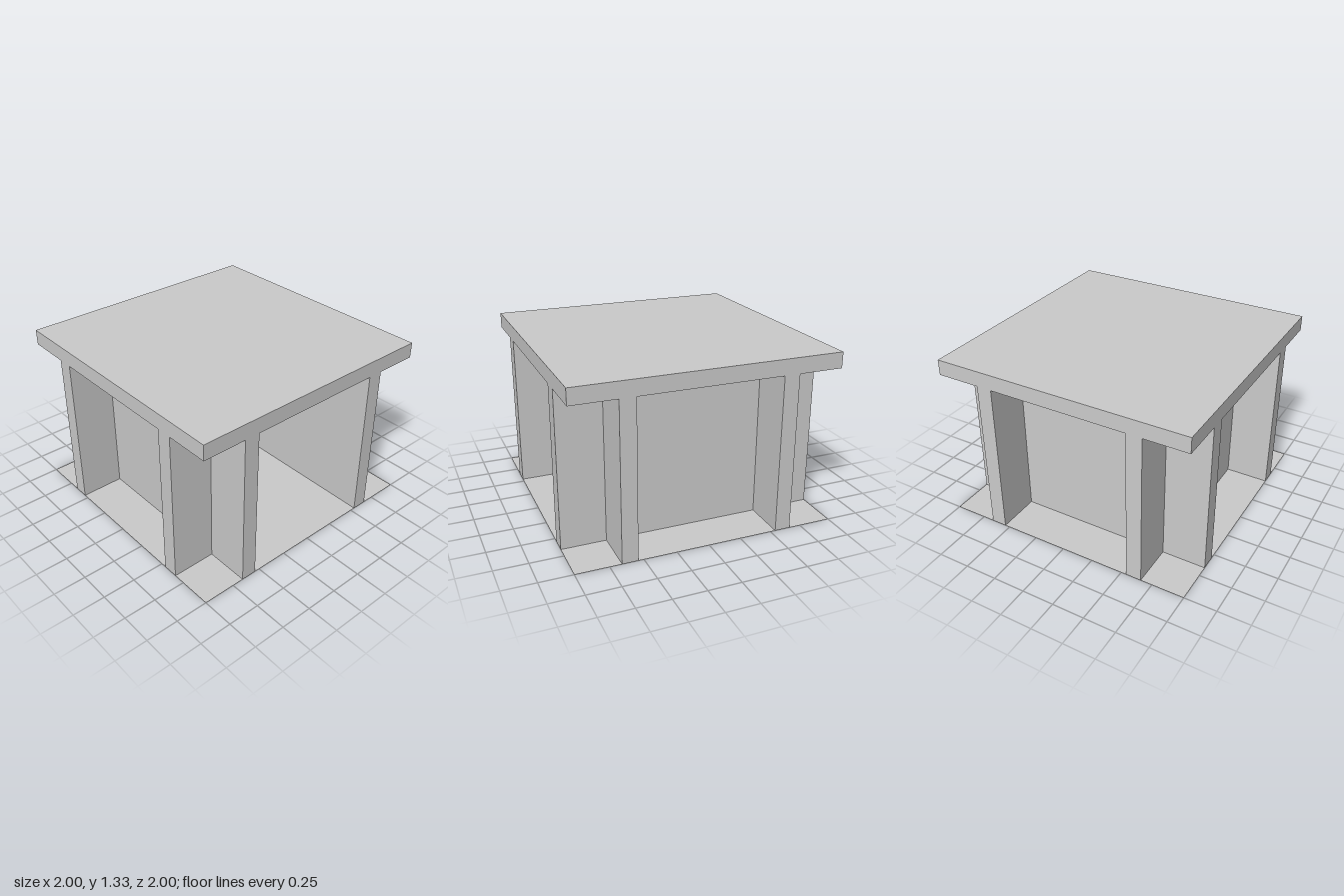
import * as THREE from 'three';

export function createModel() {
  const group = new THREE.Group();
  const material = new THREE.MeshStandardMaterial({ color: 0xcccccc, flatShading: true });
  const T = 0.12;        // wall and roof thickness
  const H = 1.206;       // wall height
  const C = 0.6;         // wall centre line
  const inner = C - T / 2, outer = C + T / 2;
  const wing = 1 - outer; // length of wall running past a corner

  function box(name, w, h, d, x, y, z) {
    const mesh = new THREE.Mesh(new THREE.BoxGeometry(w, h, d), material);
    mesh.name = name;
    mesh.position.set(x, y + h / 2, z);
    group.add(mesh);
  }

  // Flat slab roof
  box('roof', 2, T, 2, 0, H, 0);

  // Paper-thin floor
  const floorMaterial = material.clone();
  floorMaterial.side = THREE.DoubleSide;
  const floor = new THREE.Mesh(new THREE.PlaneGeometry(2, 2), floorMaterial);
  floor.name = 'floor';
  floor.rotation.x = -Math.PI / 2;
  group.add(floor);

  // Closed back wall; the front between the side walls stays open
  box('backWall', 2 * inner, H, T, 0, 0, -C);

  for (const [side, s] of [['left', 1], ['right', -1]]) {
    // Side walls run the full depth
    box(side + 'Wall', T, H, 2, s * C, 0, 0);
    // Wings carry the front and back wall lines out to the roof edge
    box(side + 'FrontWing', wing, H, T, s * (outer + wing / 2), 0, C);
    box(side + 'BackWing', wing, H, T, s * (outer + wing / 2), 0, -C);
  }

  return group;
}
